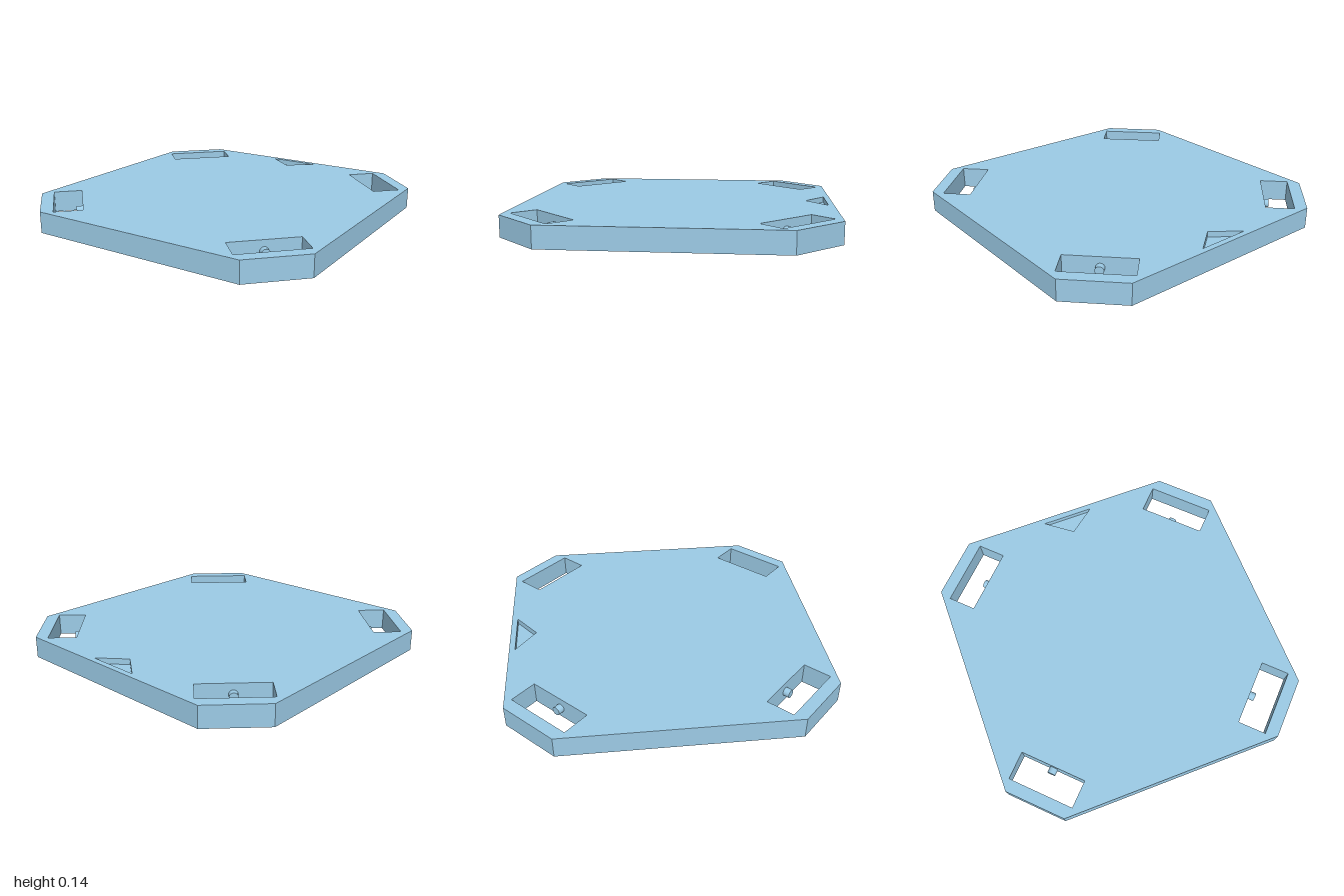
import * as THREE from 'three';
import { mergeGeometries } from 'three/addons/utils/BufferGeometryUtils.js';

const HEIGHT = 0.136, RECESS = 0.036;
const SLOT_IN = 0.955, SLOT_OUT = 1.135, SLOT_HALF = 0.217;
const CORNERS = [0, 1, 2, 3].map((k) => Math.PI / 4 + (k * Math.PI) / 2);

// Plan points are (x, -z). Outlines run counter-clockwise, holes clockwise.
const plan = (list) => list.map(([x, y]) => new THREE.Vector2(x, y));

// Flat face of a plan shape at height y, facing up or down
function cap(outline, holes, y, up) {
  const shape = new THREE.Shape(outline);
  shape.holes = holes.map((h) => new THREE.Path(h));
  const g = new THREE.ShapeGeometry(shape).toNonIndexed();
  return g.rotateX(up ? -Math.PI / 2 : Math.PI / 2).translate(0, y, 0);
}

// Upright walls along a closed loop
function walls(loop, y0, y1) {
  return loop.map((a, i) => {
    const b = loop[(i + 1) % loop.length];
    const g = new THREE.PlaneGeometry(a.distanceTo(b), y1 - y0).toNonIndexed();
    g.rotateY(Math.atan2(b.y - a.y, b.x - a.x));
    return g.translate((a.x + b.x) / 2, (y0 + y1) / 2, -(a.y + b.y) / 2);
  });
}

export function createModel() {
  const group = new THREE.Group();
  const material = new THREE.MeshStandardMaterial({ color: 0x9ccbe6 });

  // Square plate with cut corners
  const c = 0.717;
  const outline = plan([[1, -c], [1, c], [c, 1], [-c, 1], [-1, c], [-1, -c], [-c, -1], [c, -1]]);

  // Diagonal slots through the corners
  const slots = CORNERS.map((angle) => {
    const rect = plan([[SLOT_IN, -SLOT_HALF], [SLOT_IN, SLOT_HALF], [SLOT_OUT, SLOT_HALF], [SLOT_OUT, -SLOT_HALF]]);
    return rect.map((p) => p.rotateAround(new THREE.Vector2(), angle));
  });

  // Shallow triangular marker at the back edge
  const marker = plan([[-0.17, 0.963], [0.17, 0.963], [0, 0.833]]);
  const floorY = HEIGHT - RECESS;

  const plate = new THREE.Mesh(mergeGeometries([
    cap(outline, slots, 0, false),
    cap(outline, [...slots, marker], HEIGHT, true),
    cap(marker, [], floorY, true),
    ...walls(outline, 0, HEIGHT),
    ...slots.flatMap((s) => walls(s, 0, HEIGHT)),
    ...walls(marker, floorY, HEIGHT),
  ]), material);
  plate.name = 'plate';
  group.add(plate);

  // Round pegs on the inner wall of each slot
  const pegGeometry = new THREE.CylinderGeometry(0.027, 0.027, 0.06, 32).rotateZ(-Math.PI / 2);
  CORNERS.forEach((angle) => {
    const peg = new THREE.Mesh(pegGeometry, material);
    const r = SLOT_IN + 0.01;
    peg.name = 'slotPeg';
    peg.position.set(r * Math.cos(angle), HEIGHT / 2, -r * Math.sin(angle));
    peg.rotation.y = angle;
    group.add(peg);
  });

  return group;
}
